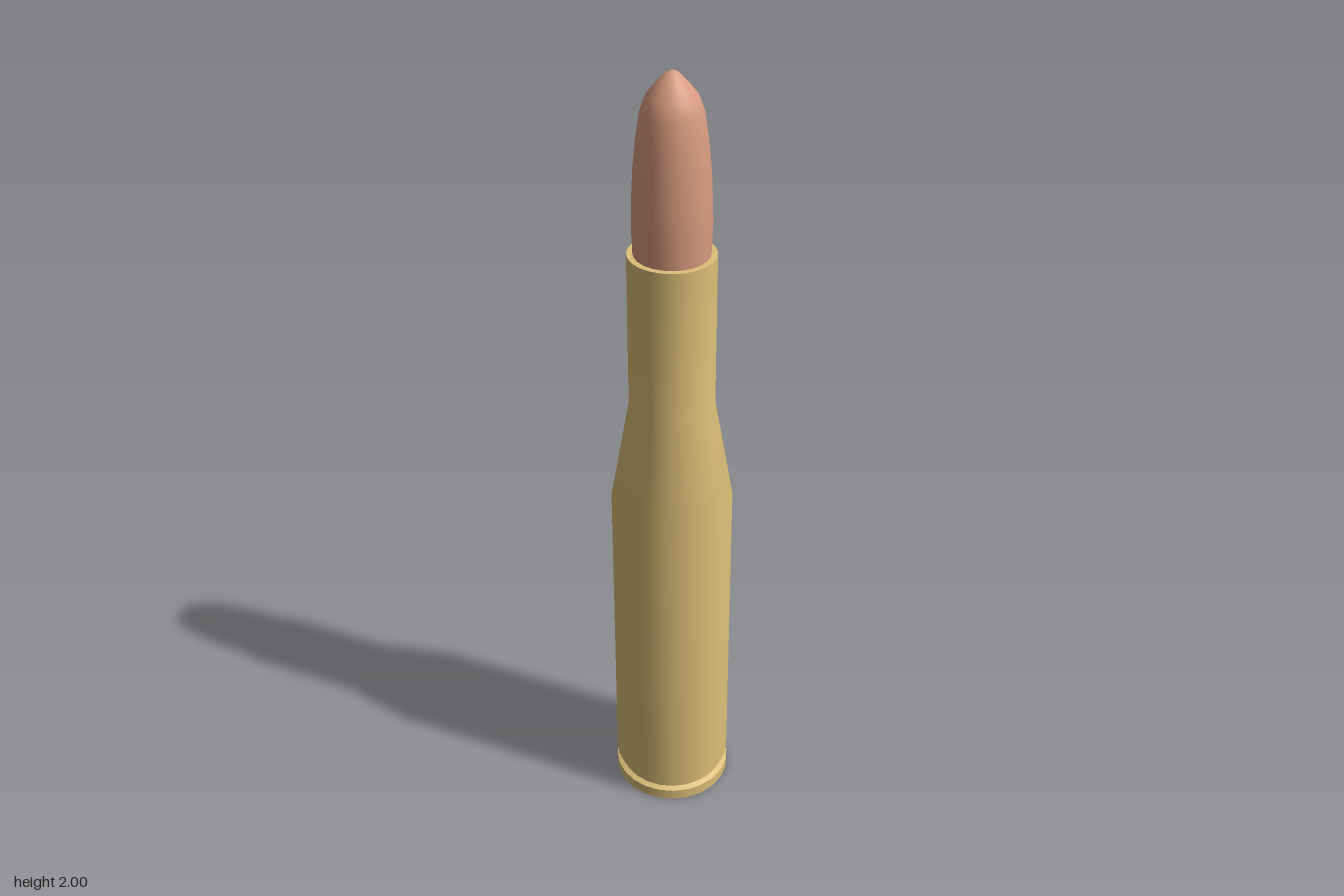
import * as THREE from 'three';

const SIDES = 24;

export function createModel() {
  const model = new THREE.Group();
  model.name = 'cartridge';

  const brass = new THREE.MeshStandardMaterial({ color: 0xdcbf78 });
  brass.name = 'brass';
  const copper = new THREE.MeshStandardMaterial({ color: 0xd99b80 });
  copper.name = 'copper';

  // Turned part: each profile runs bottom to top, [radius, height]
  const turn = (name, material, profile, parent) => {
    const points = profile.map(([r, y]) => new THREE.Vector2(r, y));
    const mesh = new THREE.Mesh(new THREE.LatheGeometry(points, SIDES), material);
    mesh.name = name;
    parent.add(mesh);
  };

  // Case: separate lathes keep the edges between them sharp
  const brassCase = new THREE.Group();
  brassCase.name = 'case';
  model.add(brassCase);
  turn('base', brass, [[0, 0], [0.153, 0]], brassCase);
  turn('rim', brass, [[0.153, 0], [0.153, 0.03]], brassCase);
  turn('rimTop', brass, [[0.153, 0.03], [0.14, 0.036]], brassCase);
  turn('extractorGroove', brass, [[0.14, 0.036], [0.14, 0.052]], brassCase);
  turn('grooveBevel', brass, [[0.14, 0.052], [0.152, 0.064]], brassCase);
  turn('body', brass, [[0.152, 0.064], [0.15, 0.92], [0.103, 1.19], [0.103, 1.58]], brassCase);
  turn('mouthLip', brass, [[0.103, 1.58], [0.088, 1.58]], brassCase);

  // Bullet: seated in the neck, rounding in to a blunt tip
  turn('bullet', copper, [
    [0.088, 1.56], [0.091, 1.65], [0.0895, 1.71], [0.086, 1.78],
    [0.079, 1.85], [0.07, 1.91], [0.057, 1.945], [0.035, 1.972],
    [0.016, 1.993], [0, 2],
  ], model);

  return model;
}
